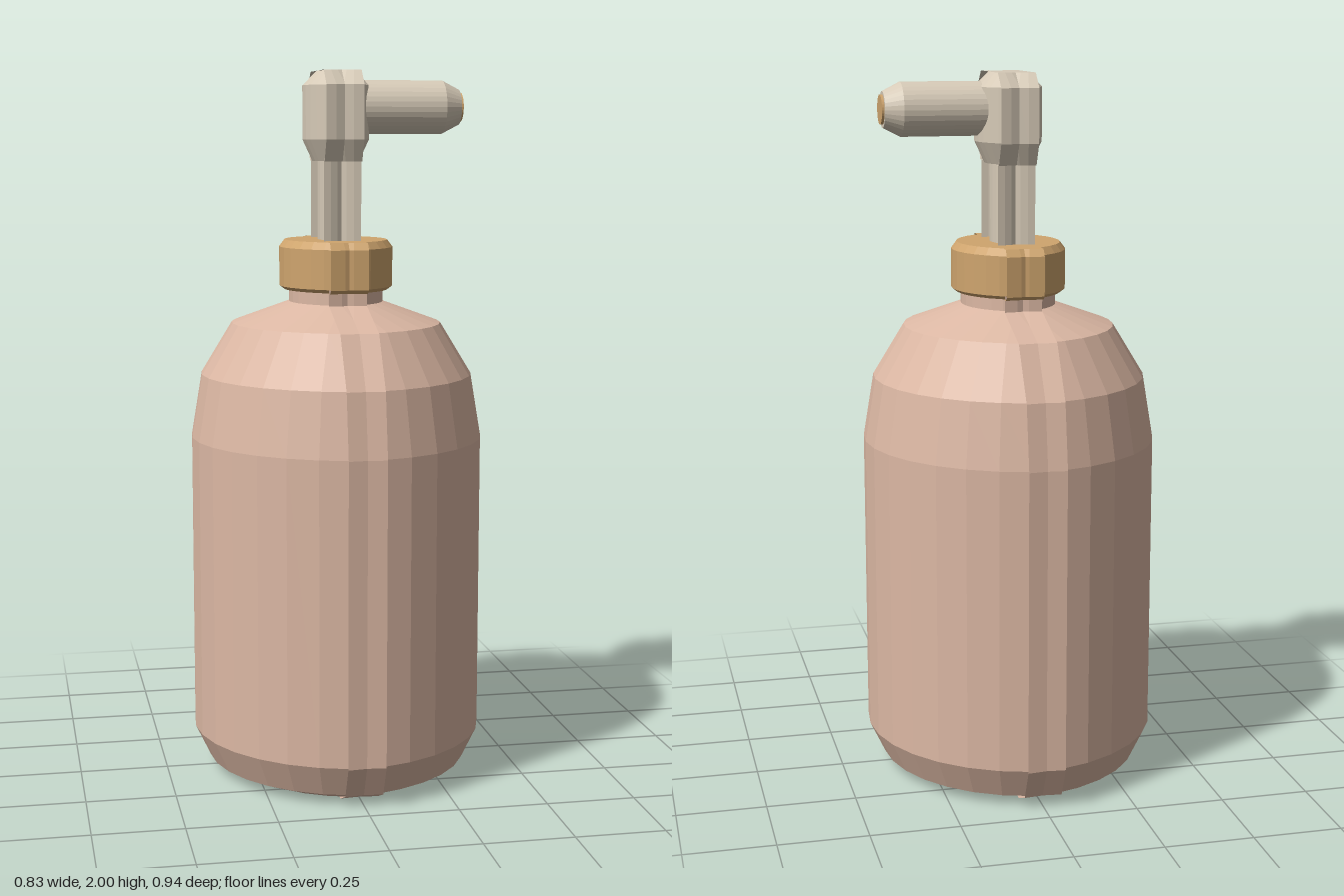
import * as THREE from 'three';

// Two half-turned shells overlap by this much either side of the middle plane
const OVERLAP = 0.053;

function material(name, color) {
  const m = new THREE.MeshStandardMaterial({ color, flatShading: true, side: THREE.DoubleSide });
  m.name = name;
  return m;
}

function lathe(profile, segments, start, length) {
  return new THREE.LatheGeometry(profile.map(([r, y]) => new THREE.Vector2(r, y)), segments, start, length);
}

// A part made of a right-hand and a left-hand half shell
function halves(name, profile, mat) {
  const part = new THREE.Group();
  part.name = name;
  for (const side of [1, -1]) {
    const half = new THREE.Mesh(lathe(profile, 16, side > 0 ? 0 : Math.PI, Math.PI), mat);
    half.name = name + (side > 0 ? 'Left' : 'Right');
    half.position.x = -side * OVERLAP;
    part.add(half);
  }
  return part;
}

// A round part lying along +x at spout height
function alongX(name, profile, mat) {
  const mesh = new THREE.Mesh(lathe(profile, 32, 0, Math.PI * 2), mat);
  mesh.name = name;
  mesh.rotation.z = -Math.PI / 2;
  mesh.position.y = 1.9;
  return mesh;
}

export function createModel() {
  const pink = material('dusty pink', 0xdcb8a4);
  const cream = material('cream', 0xd6cab7);
  const tan = material('tan', 0xcfa56e);

  const model = new THREE.Group();
  model.name = 'pumpBottle';

  // Bottle with chamfered foot, stepped shoulder and neck
  model.add(halves('bottle', [
    [0, 0], [0.355, 0], [0.425, 0.03], [0.468, 0.12], [0.468, 0.97],
    [0.438, 1.15], [0.35, 1.295], [0.186, 1.355], [0.186, 1.4],
  ], pink));

  // Screw collar
  model.add(halves('collar', [
    [0.1, 1.39], [0.2, 1.39], [0.213, 1.4], [0.213, 1.51], [0.198, 1.53], [0.08, 1.53],
  ], tan));

  // Pump stem and head
  model.add(halves('stem', [[0.104, 1.52], [0.104, 1.76]], cream));
  model.add(halves('pumpHead', [
    [0.09, 1.75], [0.118, 1.75], [0.146, 1.81], [0.146, 1.96], [0.106, 2], [0, 2],
  ], cream));

  // Spout with tapered end and coloured opening
  model.add(alongX('spout', [
    [0.075, 0.03], [0.075, 0.305], [0.05, 0.354], [0, 0.354],
  ], cream));
  model.add(alongX('spoutOpening', [[0.041, 0.353], [0.041, 0.361], [0, 0.361]], tan));

  return model;
}
